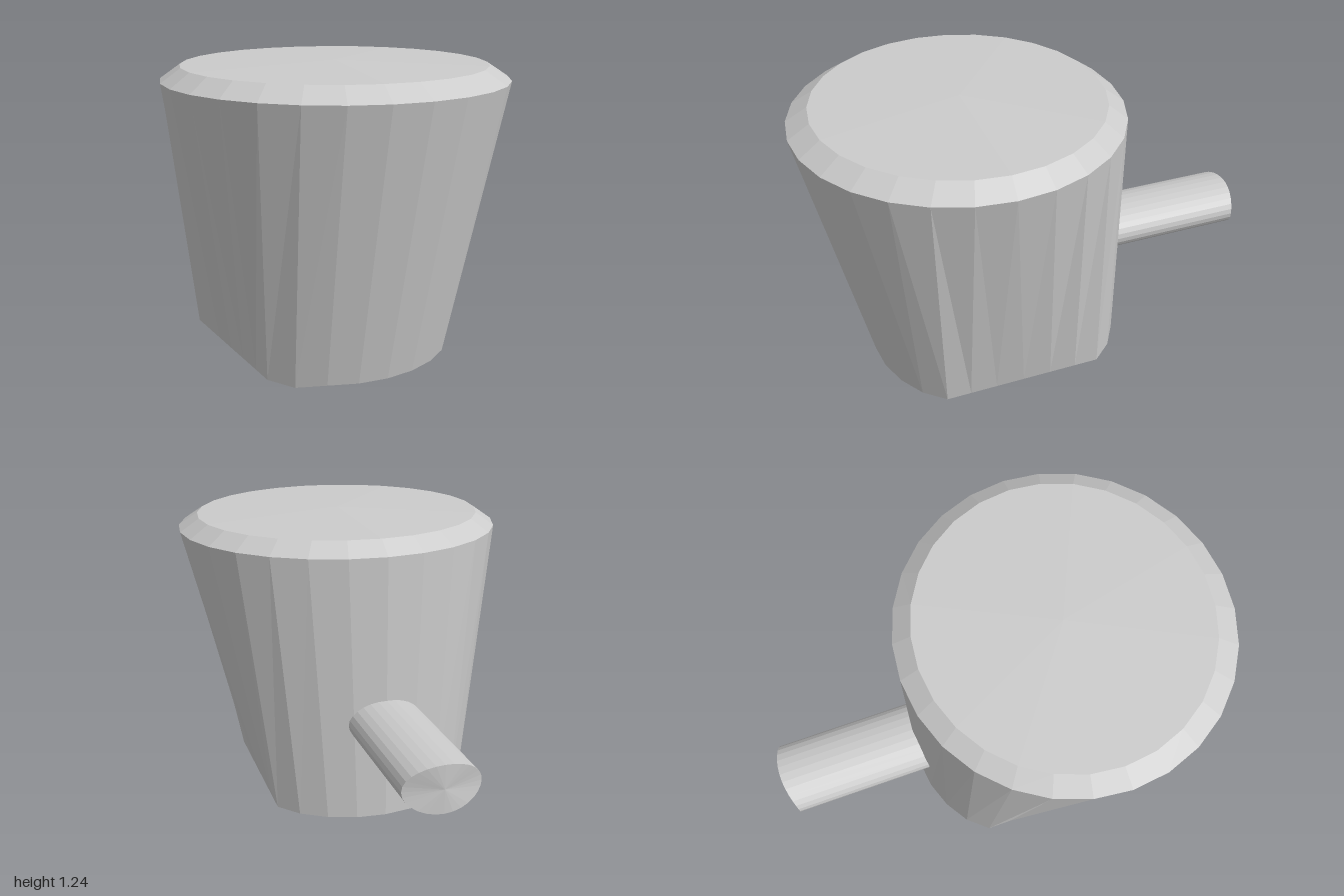
import * as THREE from 'three';

const SIDES = 28;

// Builds a closed, faceted solid through rings of points; tips are the cap centres.
function loft(rings, bottomTip, topTip) {
  const n = rings[0].length;
  const pos = [];
  const tri = (a, b, c) => pos.push(...a, ...b, ...c);
  const last = rings[rings.length - 1];
  for (let i = 0; i < n; i++) {
    const j = (i + 1) % n;
    tri(bottomTip, rings[0][j], rings[0][i]);
    for (let r = 0; r < rings.length - 1; r++) {
      const lo = rings[r], hi = rings[r + 1];
      tri(lo[i], lo[j], hi[j]);
      tri(lo[i], hi[j], hi[i]);
    }
    tri(topTip, last[i], last[j]);
  }
  const geo = new THREE.BufferGeometry();
  geo.setAttribute('position', new THREE.Float32BufferAttribute(pos, 3));
  geo.computeVertexNormals();
  return geo;
}

// Ellipse in the xz plane, with optional flat sides at x = +-limit.
function ring(rx, rz, zc, y, limit = Infinity) {
  return Array.from({ length: SIDES }, (_, i) => {
    const a = (i / SIDES) * Math.PI * 2;
    const x = THREE.MathUtils.clamp(rx * Math.sin(a), -limit, limit);
    return [x, y, zc + rz * Math.cos(a)];
  });
}

export function createModel() {
  const group = new THREE.Group();
  const material = new THREE.MeshStandardMaterial({ color: 0xcccccc, flatShading: true });
  const add = (name, geo) => {
    const mesh = new THREE.Mesh(geo, material);
    mesh.name = name;
    group.add(mesh);
    return mesh;
  };

  // Tapered body: flat-sided foot, wide round rim, bevel and shallow domed top
  const foot = ring(0.565, 0.565, 0.185, 0.014, 0.43);
  foot[SIDES - 3][1] = 0; // slightly low corner of the foot
  add('body', loft(
    [foot, ring(0.715, 0.69, 0.31, 1.165), ring(0.632, 0.605, 0.303, 1.222)],
    [0, 0.012, 0.185], [0, 1.235, 0.3]
  ));

  // Oval handle pointing backwards, with a gently curved end
  const end = ring(0.16, 0.1, 0, 0).map(([x, , z]) => [x, 1 - 0.03 * (x / 0.16) ** 2, z]);
  const handle = loft([ring(0.16, 0.1, 0, 0.34), end], [0, 0.34, 0], [0, 1, 0]);
  handle.rotateX(-Math.PI / 2);
  add('handle', handle).position.y = 0.45;

  return group;
}
